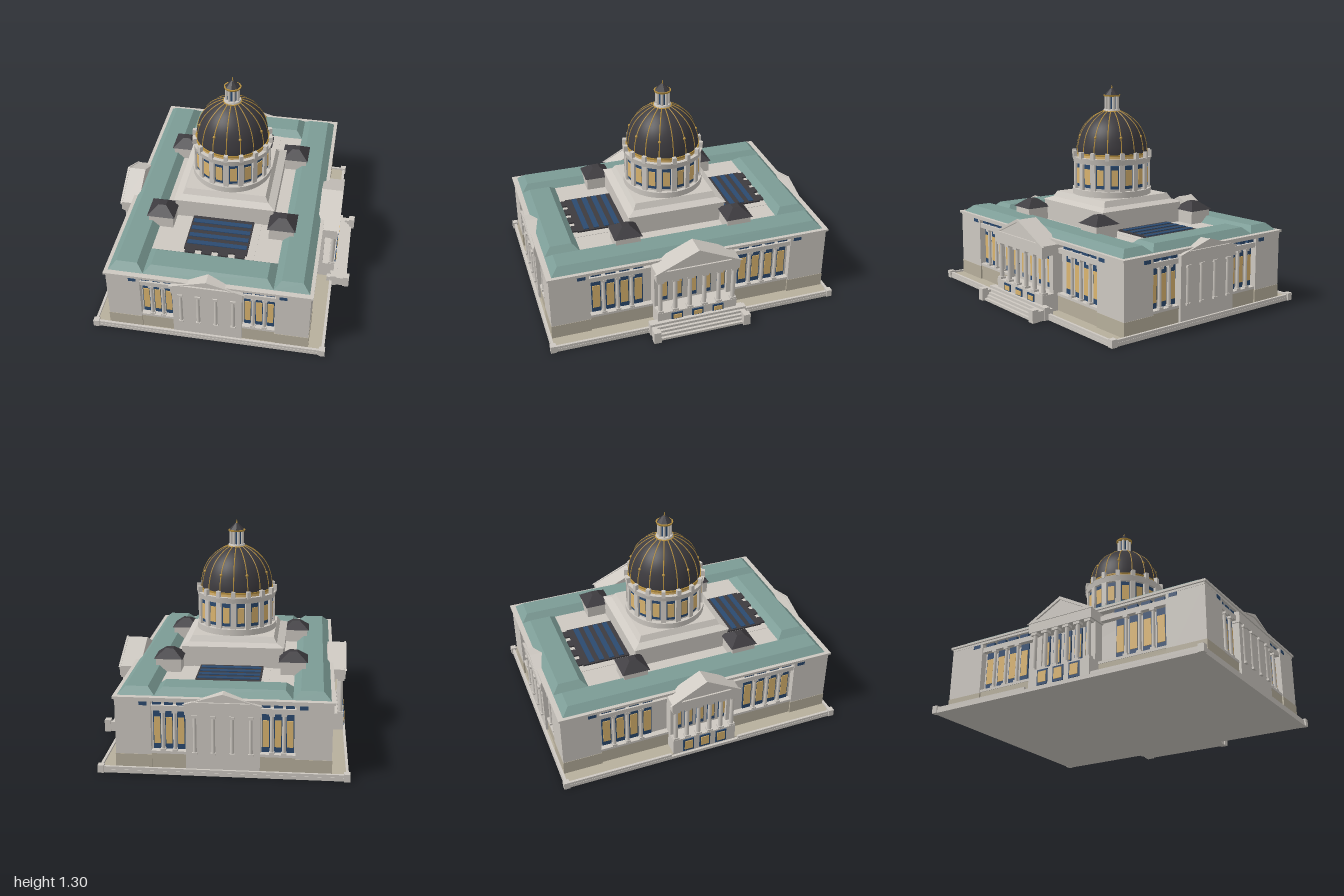
import * as THREE from 'three';

const paint = (color, flatShading = false) =>
  new THREE.MeshStandardMaterial({ color, flatShading, side: THREE.DoubleSide });
const stone = paint(0xcdc8c1), tan = paint(0xb7af9c), green = paint(0x7b9b95, true);
const dark = paint(0x3d3b3f, true), domeDark = paint(0x3d3b3f), gold = paint(0xb8913f);
const amber = paint(0xdbb570), blue = paint(0x2b4a70), hipStone = paint(0xcdc8c1, true);

function add(parent, name, geo, mat, x = 0, y = 0, z = 0) {
  const m = new THREE.Mesh(geo, mat);
  m.name = name;
  m.position.set(x, y, z);
  parent.add(m);
  return m;
}

// Box given by its extents on each axis
function box(parent, name, mat, x0, x1, y0, y1, z0, z1) {
  return add(parent, name, new THREE.BoxGeometry(Math.abs(x1 - x0), y1 - y0, Math.abs(z1 - z0)),
    mat, (x0 + x1) / 2, (y0 + y1) / 2, (z0 + z1) / 2);
}

// Box centred on x, z whose top is drawn in by an inset on all sides
function hip(parent, name, mat, x, z, hx, hz, y0, y1, inset) {
  const g = new THREE.BoxGeometry(hx * 2, y1 - y0, hz * 2), p = g.attributes.position;
  for (let i = 0; i < p.count; i++) if (p.getY(i) > 0) {
    p.setX(i, p.getX(i) - Math.sign(p.getX(i)) * inset);
    p.setZ(i, p.getZ(i) - Math.sign(p.getZ(i)) * inset);
  }
  g.computeVertexNormals();
  return add(parent, name, g, mat, x, (y0 + y1) / 2, z);
}

function drumPart(parent, name, mat, rTop, rBottom, y0, y1, sides = 48) {
  return add(parent, name, new THREE.CylinderGeometry(rTop, rBottom, y1 - y0, sides), mat, 0, (y0 + y1) / 2, 0);
}

// Round column with base and capital
function column(parent, x, z, y0, y1, r) {
  const g = new THREE.Group();
  g.name = 'column';
  g.position.set(x, 0, z);
  parent.add(g);
  drumPart(g, 'shaft', stone, r * 0.85, r, y0, y1, 12);
  box(g, 'columnBase', stone, -r * 1.3, r * 1.3, y0, y0 + 0.012, -r * 1.3, r * 1.3);
  box(g, 'capital', stone, -r * 1.4, r * 1.4, y1 - 0.015, y1, -r * 1.4, r * 1.4);
}

// Tall window facing +z: blue frame with amber panes
function windowBay(parent, x, z, w, y0, y1) {
  box(parent, 'windowFrame', blue, x - w / 2, x + w / 2, y0, y1, z - 0.01, z + 0.006);
  const b = (y1 - y0) * 0.14;
  box(parent, 'windowPane', amber, x - w * 0.4, x + w * 0.4, y0 + b, y1 - b * 1.3, z, z + 0.01);
}

// Triangular gable with its roof running back from z1 to z0
function gable(parent, half, y0, y1, z0, z1) {
  const s = new THREE.Shape([new THREE.Vector2(-half, y0), new THREE.Vector2(half, y0), new THREE.Vector2(0, y1)]);
  add(parent, 'pedimentRoof', new THREE.ExtrudeGeometry(s, { depth: z1 - z0, bevelEnabled: false }), stone, 0, 0, z0);
  // raking cornice along the front edge
  const frame = new THREE.Shape([[-half - 0.012, y0 - 0.004], [half + 0.012, y0 - 0.004], [0, y1 + 0.005]]
    .map(p => new THREE.Vector2(...p)));
  frame.holes.push(new THREE.Path([[-half + 0.05, y0 + 0.012], [0, y1 - 0.014], [half - 0.05, y0 + 0.012]]
    .map(p => new THREE.Vector2(...p))));
  add(parent, 'pedimentCornice', new THREE.ExtrudeGeometry(frame, { depth: 0.012, bevelEnabled: false }), stone, 0, 0, z1 - 0.002);
}

// One wall of the block, seen facing +z: bays between the centre and the corner blocks
function facade(parent, wall, bays, pitch) {
  for (const s of [-1, 1]) bays.forEach((x, i) => {
    windowBay(parent, s * x, wall, pitch * 0.66, 0.135, 0.365);
    box(parent, 'atticWindow', blue, s * x - pitch * 0.36, s * x + pitch * 0.36, 0.4, 0.422, wall, wall + 0.022);
    if (i) column(parent, s * (x - pitch / 2), wall + 0.017, 0.13, 0.37, 0.011);
  });
}

// Flat end frontispiece with four engaged columns and a low pediment
function frontispiece(parent) {
  box(parent, 'frontispieceWall', stone, -0.205, 0.205, 0.03, 0.42, 0.8, 0.872);
  for (const x of [-0.155, -0.052, 0.052, 0.155]) column(parent, x, 0.872, 0.125, 0.355, 0.011);
  box(parent, 'frontispieceBeam', stone, -0.212, 0.212, 0.355, 0.42, 0.8, 0.88);
  gable(parent, 0.21, 0.42, 0.478, 0.76, 0.878);
}

// Projecting side portico facing +z
function portico(parent, half, front, steps) {
  const cols = 6, inner = half - 0.03;
  box(parent, 'porticoPodium', stone, -half + 0.01, half - 0.01, 0.02, 0.13, 0.5, front - 0.01);
  box(parent, 'porticoBackWall', stone, -half + 0.01, half - 0.01, 0.13, 0.37, 0.5, 0.595);
  for (let i = 0; i < cols; i++) column(parent, inner * (i / (cols - 1) * 2 - 1), front - 0.03, 0.13, 0.36, 0.014);
  for (const s of [-1, 1]) box(parent, 'porticoPier', stone, s * (half - 0.05), s * (half - 0.01), 0.13, 0.37, 0.58, 0.625);
  for (let i = -2; i <= 2; i++) windowBay(parent, i * inner * 0.4, 0.597, 0.05, 0.15, 0.355);
  for (const x of [-0.13, 0, 0.13]) {
    const k = half / 0.26;
    box(parent, 'doorFrame', blue, x * k - 0.035, x * k + 0.035, 0.03, 0.12, front - 0.03, front - 0.005);
    box(parent, 'doorPane', amber, x * k - 0.026, x * k + 0.026, steps ? 0.08 : 0.045, 0.108, front - 0.03, front - 0.001);
  }
  box(parent, 'porticoBeam', stone, -half, half, 0.36, 0.42, 0.55, front - 0.005);
  gable(parent, half, 0.42, 0.535, 0.575, front - 0.01);
  if (!steps) return;
  for (let i = 0; i < 5; i++) box(parent, 'step', stone, -0.27, 0.27, 0, 0.075 - i * 0.015, 0.68, 0.722 + i * 0.016);
  for (const s of [-1, 1]) {
    box(parent, 'stairCheek', stone, s * 0.265, s * 0.295, 0, 0.06, 0.66, 0.79);
    for (const z of [0.705, 0.785]) box(parent, 'stairPedestal', stone, s * 0.258, s * 0.302, 0, 0.075, z - 0.02, z + 0.018);
  }
}

function terrace(g) {
  box(g, 'groundSlab', stone, -0.697, 0.697, 0, 0.02, -0.887, 0.887);
  box(g, 'terraceFloor', tan, -0.68, 0.68, 0.02, 0.025, -0.87, 0.87);
  for (const s of [-1, 1]) {
    box(g, 'endKerb', stone, -0.69, 0.69, 0.02, 0.036, s * 0.87, s * 0.885);
    for (const t of [-1, 1]) {
      box(g, 'sideKerb', stone, s * 0.68, s * 0.695, 0.02, 0.036, t * 0.22, t * 0.885);
      box(g, 'cornerPost', stone, s * 0.668, s * 0.703, 0, 0.045, t * 0.86, t * 0.895);
    }
  }
}

function mainBlock(g) {
  box(g, 'coreWalls', stone, -0.56, 0.56, 0.02, 0.445, -0.825, 0.825);
  box(g, 'plinthBand', tan, -0.592, 0.592, 0.02, 0.115, -0.857, 0.857);
  box(g, 'sill', stone, -0.595, 0.595, 0.115, 0.13, -0.86, 0.86);
  box(g, 'entablature', stone, -0.594, 0.594, 0.368, 0.398, -0.859, 0.859);
  box(g, 'eave', stone, -0.602, 0.602, 0.422, 0.435, -0.866, 0.866);
  box(g, 'eaveLip', stone, -0.612, 0.612, 0.435, 0.448, -0.875, 0.875);
  for (const s of [-1, 1]) for (const t of [-1, 1]) {
    box(g, 'cornerBlock', stone, s * 0.4, s * 0.6, 0.02, 0.425, t * 0.63, t * 0.865);
    box(g, 'cornerPlinth', tan, s * 0.398, s * 0.602, 0.02, 0.11, t * 0.628, t * 0.867);
    box(g, 'cornerAtticWindow', blue, s * 0.42, s * 0.465, 0.4, 0.422, t * 0.85, t * 0.867);
    box(g, 'cornerAtticWindow', blue, s * 0.59, s * 0.602, 0.4, 0.422, t * 0.65, t * 0.7);
  }
  // one turned group per side
  for (let i = 0; i < 4; i++) {
    const side = new THREE.Group();
    side.name = ['frontSide', 'leftSide', 'backSide', 'rightSide'][i];
    side.rotation.y = i * Math.PI / 2;
    g.add(side);
    if (i % 2 === 0) {
      facade(side, 0.828, [0.235, 0.302, 0.369], 0.067);
      frontispiece(side);
    } else {
      facade(side, 0.563, [0.33, 0.415, 0.5, 0.585], 0.085);
      if (i === 1) portico(side, 0.258, 0.71, true);
      else portico(side, 0.213, 0.692, false);
    }
  }
}

function roofs(g) {
  for (const s of [-1, 1]) {
    hip(g, 'sideRoof', green, s * 0.485, 0, 0.107, 0.845, 0.446, 0.488, 0.045);
    hip(g, 'endRoof', green, 0, s * 0.735, 0.385, 0.11, 0.446, 0.488, 0.045);
    // skylights
    box(g, 'skylightCurb', stone, -0.235, 0.235, 0.44, 0.45, s * 0.3, s * 0.63);
    box(g, 'skylight', dark, -0.19, 0.19, 0.44, 0.46, s * 0.3, s * 0.6);
    for (let i = 0; i < 4; i++) box(g, 'skylightGlass', blue, -0.18, 0.18, 0.45, 0.465, s * (0.335 + i * 0.064), s * (0.367 + i * 0.064));
    for (let i = 0; i < 4; i++) box(g, 'skylightTooth', dark, -0.18 + i * 0.1, -0.12 + i * 0.1, 0.44, 0.46, s * 0.6, s * 0.63);
    // corner pavilions
    for (const t of [-1, 1]) {
      box(g, 'pavilion', stone, s * 0.295, s * 0.445, 0.44, 0.53, t * 0.275, t * 0.425);
      hip(g, 'pavilionRoof', dark, s * 0.37, t * 0.35, 0.085, 0.085, 0.528, 0.578, 0.062);
    }
  }
  // stepped square base of the dome
  box(g, 'domePlatform', stone, -0.305, 0.305, 0.44, 0.575, -0.305, 0.305);
  hip(g, 'platformSlope', hipStone, 0, 0, 0.312, 0.312, 0.575, 0.593, 0.045);
  hip(g, 'platformStep', hipStone, 0, 0, 0.267, 0.267, 0.592, 0.628, 0.02);
}

function dome(g) {
  drumPart(g, 'drumFoot', stone, 0.247, 0.247, 0.625, 0.665);
  drumPart(g, 'drumWall', stone, 0.222, 0.222, 0.66, 0.84);
  drumPart(g, 'drumCornice', stone, 0.248, 0.24, 0.825, 0.862);
  drumPart(g, 'galleryBand', amber, 0.224, 0.224, 0.86, 0.88);
  drumPart(g, 'galleryRing', gold, 0.228, 0.228, 0.878, 0.888);
  // dome shell and the curve its ribs follow
  const profile = new THREE.SplineCurve([[0.221, 0.88], [0.218, 0.93], [0.2, 1.0], [0.165, 1.06], [0.11, 1.11], [0.05, 1.142]]
    .map(p => new THREE.Vector2(...p))).getPoints(20);
  add(g, 'domeShell', new THREE.LatheGeometry(profile, 48), domeDark);
  const rib = new THREE.TubeGeometry(
    new THREE.CatmullRomCurve3(profile.map(p => new THREE.Vector3(0, p.y, p.x))), 24, 0.0035, 5);
  for (let i = 0; i < 16; i++) {
    const bay = new THREE.Group();
    bay.name = 'domeBay';
    bay.rotation.y = i * Math.PI / 8;
    g.add(bay);
    add(bay, 'rib', rib, gold);
    box(bay, 'drumPilaster', stone, -0.016, 0.016, 0.66, 0.83, 0.21, 0.24);
    box(bay, 'galleryPost', stone, -0.012, 0.012, 0.855, 0.898, 0.226, 0.25);
    if (i % 2) add(bay, 'lucarne', new THREE.SphereGeometry(0.009, 10, 8), gold, 0, 0.99, 0.204);
    const gap = new THREE.Group();
    gap.name = 'drumWindow';
    gap.rotation.y = Math.PI / 16;
    bay.add(gap);
    windowBay(gap, 0, 0.221, 0.052, 0.68, 0.822);
  }
  // lantern
  drumPart(g, 'lanternRing', gold, 0.056, 0.062, 1.132, 1.142, 24);
  drumPart(g, 'lanternFoot', stone, 0.05, 0.054, 1.14, 1.152, 16);
  drumPart(g, 'lanternCore', blue, 0.032, 0.032, 1.15, 1.235, 16);
  for (let i = 0; i < 8; i++) {
    const a = (i + 0.5) * Math.PI / 4;
    add(g, 'lanternColumn', new THREE.CylinderGeometry(0.009, 0.009, 0.085, 8), stone, 0.037 * Math.sin(a), 1.192, 0.037 * Math.cos(a));
  }
  drumPart(g, 'lanternCornice', gold, 0.053, 0.05, 1.23, 1.24, 16);
  drumPart(g, 'lanternRoof', dark, 0.008, 0.048, 1.238, 1.28, 8);
  drumPart(g, 'finial', gold, 0.002, 0.005, 1.275, 1.3, 8);
}

export function createModel() {
  const model = new THREE.Group();
  model.name = 'domedBuilding';
  const g = new THREE.Group();
  g.name = 'building';
  g.rotation.y = 0.165;
  g.position.x = -0.005;
  model.add(g);
  terrace(g);
  mainBlock(g);
  roofs(g);
  dome(g);
  return model;
}
